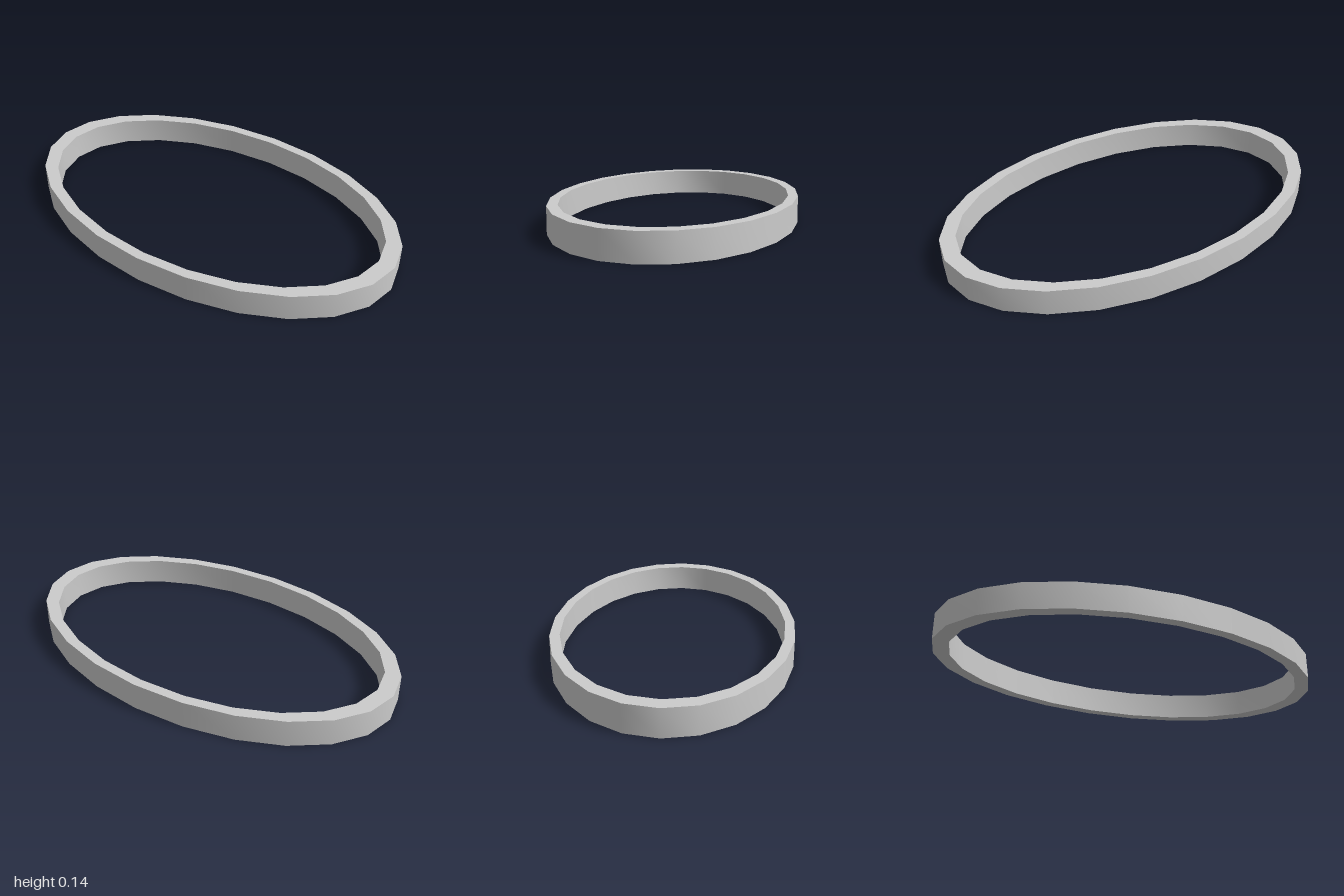
import * as THREE from 'three';
import { toCreasedNormals } from 'three/addons/utils/BufferGeometryUtils.js';

const OUTER = 1, INNER = 0.92, HEIGHT = 0.135, DEPTH_RATIO = 0.61, SEGMENTS = 24;

export function createModel() {
  const group = new THREE.Group();
  group.name = 'ovalRing';

  // closed rectangular section, turned in 24 steps
  const section = [
    [INNER, 0], [OUTER, 0], [OUTER, HEIGHT], [INNER, HEIGHT], [INNER, 0],
  ].map(([r, y]) => new THREE.Vector2(r, y));
  const lathe = new THREE.LatheGeometry(section, SEGMENTS);

  // squash to an oval; smooth walls, sharp rims
  lathe.scale(1, 1, DEPTH_RATIO);
  const band = new THREE.Mesh(
    toCreasedNormals(lathe, THREE.MathUtils.degToRad(40)),
    new THREE.MeshStandardMaterial({ color: 0xcccccc })
  );
  band.name = 'band';
  group.add(band);
  return group;
}
